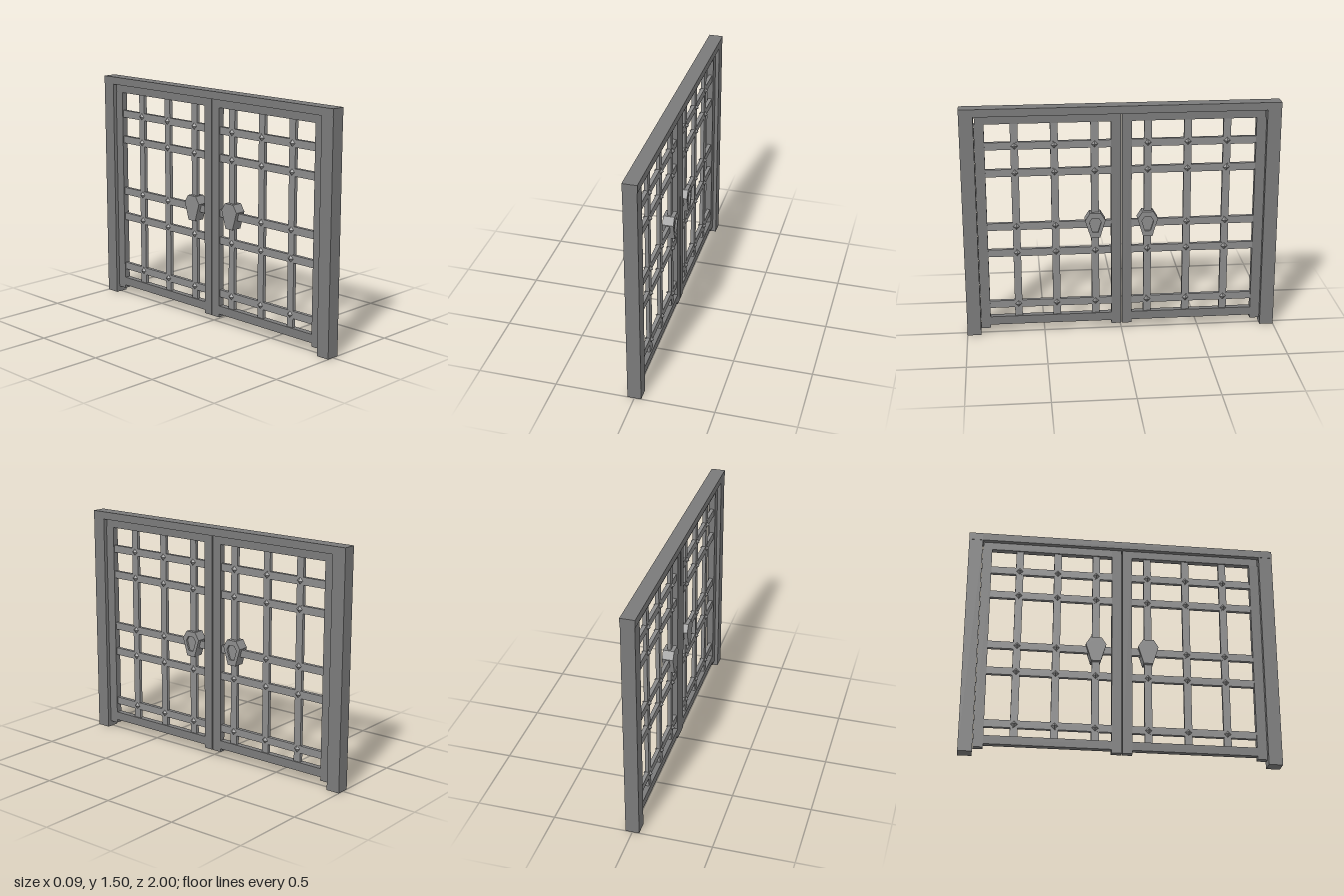
import * as THREE from 'three';

const frameMat = new THREE.MeshStandardMaterial({ color: 0x7a7a7a, flatShading: true });
const ironMat = new THREE.MeshStandardMaterial({ color: 0x8c8c8c, flatShading: true });

// Box spanning z0..z1 and y0..y1, centred on x = 0 with half depth h
function bar(parent, name, z0, z1, y0, y1, h, mat = frameMat) {
  const m = new THREE.Mesh(new THREE.BoxGeometry(2 * h, y1 - y0, Math.abs(z1 - z0)), mat);
  m.position.set(0, (y0 + y1) / 2, (z0 + z1) / 2);
  m.name = name;
  parent.add(m);
}

// Six-sided shield outline, scaled about its own centre
function shield(s) {
  return [[-0.035, 0.08], [-0.065, 0.032], [-0.03, -0.083], [0.03, -0.083], [0.065, 0.032], [0.035, 0.08]]
    .map(([a, b]) => new THREE.Vector2(a * s, b * s));
}

// Extruded shield layer between x0 and x1
function shieldLayer(parent, name, shape, x0, x1) {
  const geo = new THREE.ExtrudeGeometry(shape, { depth: x1 - x0, bevelEnabled: false });
  geo.rotateY(Math.PI / 2);
  const m = new THREE.Mesh(geo, ironMat);
  m.position.x = x0;
  m.name = name;
  parent.add(m);
}

// One gate leaf on the side s (+1 or -1 along z)
function makeLeaf(s) {
  const leaf = new THREE.Group();
  const add = (name, a, b, ...rest) => bar(leaf, name, s * a, s * b, ...rest);
  add('hingeStile', 0.848, 0.91, 0.038, 1.402, 0.02);
  add('meetingStile', 0.003, 0.065, 0.038, 1.452, 0.02);
  add('topRail', 0.065, 0.905, 1.402, 1.452, 0.02);
  add('bottomRail', 0.065, 0.848, 0.06, 0.115, 0.02);

  // Lattice
  const rows = [0.198, 0.55, 0.728, 1.083, 1.258];
  const columns = [0.167, 0.418, 0.665];
  for (const y of rows) add('latticeRail', 0.065, 0.848, y - 0.024, y + 0.024, 0.012, ironMat);
  for (const z of columns) add('latticeUpright', z - 0.024, z + 0.024, 0.115, 1.402, 0.0115, ironMat);

  // Pointed studs on the crossings
  const studGeo = new THREE.OctahedronGeometry(1).scale(0.03, 0.036, 0.036);
  for (const y of rows) for (const z of columns) {
    if (z === columns[0] && y === rows[2]) continue;
    const stud = new THREE.Mesh(studGeo, ironMat);
    stud.position.set(0, y, s * z);
    stud.name = 'stud';
    leaf.add(stud);
  }

  // Shield-shaped handle with a recess on its +x face
  const handle = new THREE.Group();
  handle.name = 'handle';
  const rim = new THREE.Shape(shield(1));
  rim.holes.push(new THREE.Path(shield(0.58).reverse()));
  shieldLayer(handle, 'handleBody', new THREE.Shape(shield(1)), -0.036, 0.024);
  shieldLayer(handle, 'handleRim', rim, 0.024, 0.036);
  handle.position.set(0, 0.727, s * 0.167);
  leaf.add(handle);
  return leaf;
}

export function createModel() {
  const gate = new THREE.Group();
  gate.name = 'gate';
  bar(gate, 'lintel', -0.912, 0.912, 1.455, 1.504, 0.045);
  for (const s of [1, -1]) {
    bar(gate, 'post', s * 0.912, s, 0, 1.455, 0.043);
    bar(gate, 'postCap', s * 0.912, s, 1.455, 1.504, 0.045);
    const leaf = makeLeaf(s);
    leaf.name = s > 0 ? 'frontLeaf' : 'backLeaf';
    gate.add(leaf);
  }
  return gate;
}
